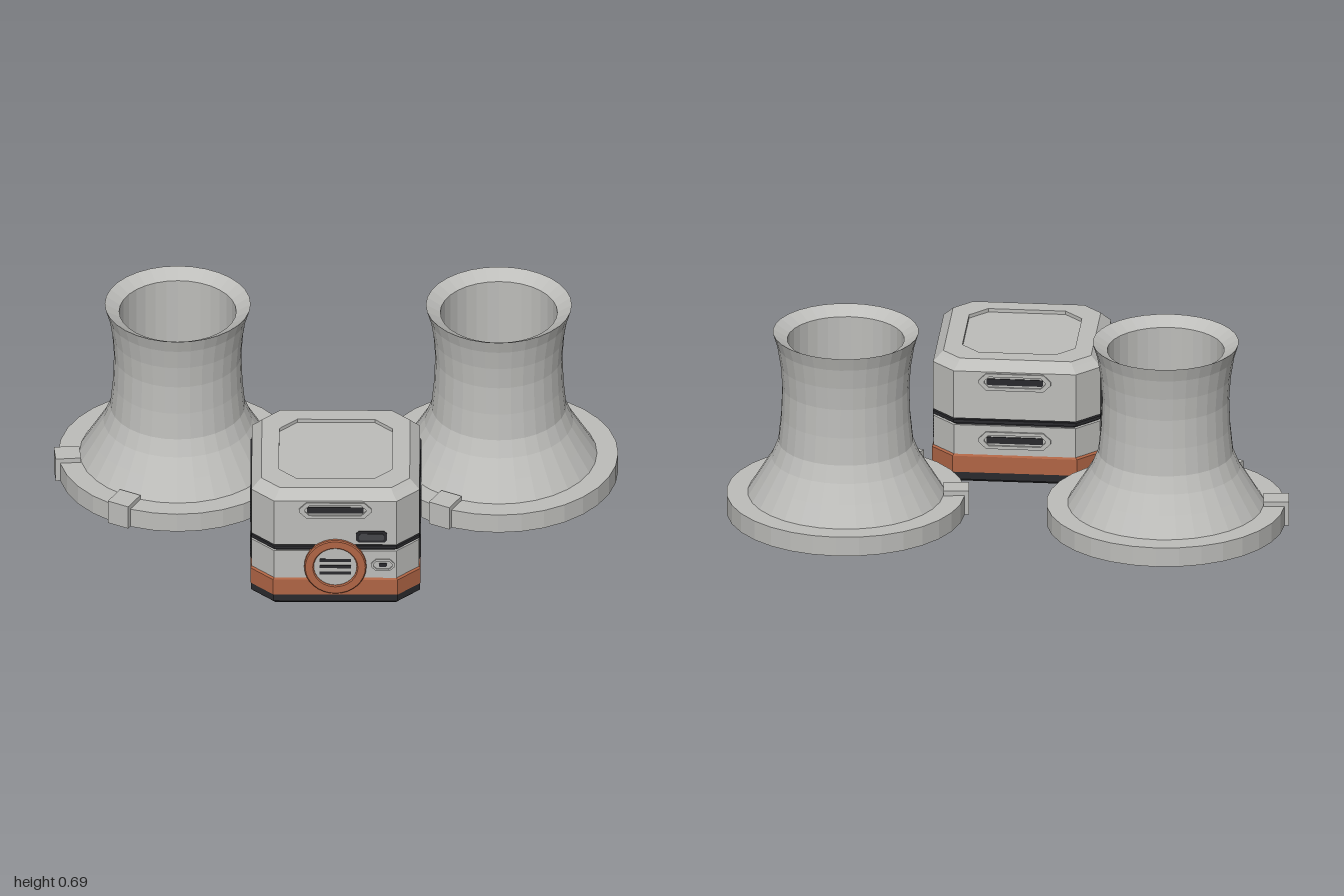
import * as THREE from 'three';

const mat = (name, color) => {
  const m = new THREE.MeshStandardMaterial({ color });
  m.name = name;
  return m;
};

export function createModel() {
  const concrete = mat('concrete grey', 0xbdbdba);
  const rust = mat('rust orange', 0xb06545);
  const dark = mat('dark metal', 0x2a2a2d);
  const slatGrey = mat('slat grey', 0x45464a);
  const model = new THREE.Group();

  const add = (parent, name, geometry, material, x = 0, y = 0, z = 0) => {
    const mesh = new THREE.Mesh(geometry, material);
    mesh.name = name;
    mesh.position.set(x, y, z);
    parent.add(mesh);
    return mesh;
  };
  const faceted = (g) => {
    const flat = g.toNonIndexed();
    flat.computeVertexNormals();
    return flat;
  };

  // Rectangle with cut corners, as a list of points
  const cutRect = (w, h, c) => [
    [w, -h + c], [w, h - c], [w - c, h], [-w + c, h],
    [-w, h - c], [-w, -h + c], [-w + c, -h], [w - c, -h],
  ].map(([x, y]) => new THREE.Vector2(x, y));
  const plate = (w, h, c, depth, hole) => {
    const shape = new THREE.Shape(cutRect(w, h, c));
    if (hole) shape.holes.push(new THREE.Path(cutRect(...hole)));
    return new THREE.ExtrudeGeometry(shape, { depth, bevelEnabled: false });
  };

  // Solid through stacked cut-corner squares, each [y, half width, corner cut]
  const loft = (rings, cap = true) => {
    const pos = [];
    const pts = rings.map(([y, h, c]) => cutRect(h, h, c).map((p) => [p.x, y, -p.y]));
    for (let r = 0; r + 1 < pts.length; r++) {
      for (let i = 0; i < 8; i++) {
        const j = (i + 1) % 8;
        const [a, b, c, d] = [pts[r][i], pts[r][j], pts[r + 1][j], pts[r + 1][i]];
        pos.push(...a, ...b, ...c, ...a, ...c, ...d);
      }
    }
    const first = pts[0], last = pts[pts.length - 1];
    for (let i = 1; i < 7; i++) {
      pos.push(...first[0], ...first[i + 1], ...first[i]);
      if (cap) pos.push(...last[0], ...last[i], ...last[i + 1]);
    }
    const g = new THREE.BufferGeometry();
    g.setAttribute('position', new THREE.Float32BufferAttribute(pos, 3));
    g.computeVertexNormals();
    return g;
  };

  // Cooling towers: plinth, waisted shell, flared lip and hollow inside
  const profile = [
    [0, 0], [0.422, 0], [0.422, 0.072], [0.347, 0.072], [0.302, 0.145], [0.263, 0.21],
    [0.239, 0.27], [0.229, 0.37], [0.225, 0.477], [0.231, 0.56], [0.243, 0.635],
    [0.258, 0.685], [0.207, 0.655], [0.207, 0.08], [0, 0.08],
  ].map(([x, y]) => new THREE.Vector2(x, y));
  const towerGeo = faceted(new THREE.LatheGeometry(profile, 32));
  const clipGeo = new THREE.BoxGeometry(0.082, 0.09, 0.09);
  for (const [side, x] of [['right', -0.562], ['left', 0.573]]) {
    const tower = new THREE.Group();
    tower.name = side + 'CoolingTower';
    tower.position.set(x, 0, -0.242);
    model.add(tower);
    add(tower, 'towerShell', towerGeo, concrete);
    for (const a of [-1.48, -0.5]) {
      const clip = add(tower, 'plinthClip', clipGeo, concrete, 0.391 * Math.sin(a), 0.045, 0.391 * Math.cos(a));
      clip.rotation.y = a;
    }
  }

  // Control block, stacked from the ground up
  const block = new THREE.Group();
  block.name = 'controlBlock';
  block.position.z = 0.36;
  model.add(block);
  add(block, 'footing', loft([[0, 0.293, 0.08], [0.008, 0.299, 0.08], [0.035, 0.299, 0.08]]), dark);
  add(block, 'skirt', loft([[0.035, 0.3, 0.08], [0.096, 0.3, 0.08], [0.106, 0.294, 0.08]]), rust);
  add(block, 'lowerStorey', loft([[0.1, 0.296, 0.08], [0.214, 0.296, 0.08]]), concrete);
  add(block, 'seamBand', loft([[0.214, 0.288, 0.08], [0.24, 0.288, 0.08]]), dark);
  add(block, 'seamRib', loft([[0.222, 0.297, 0.08], [0.234, 0.297, 0.08]]), dark);
  add(block, 'upperStorey', loft([[0.24, 0.297, 0.08], [0.42, 0.297, 0.08], [0.442, 0.275, 0.072]]), concrete);

  // Roof: bevelled edge around a shallow sunken panel
  add(block, 'roofBevel', loft([[0.44, 0.277, 0.073], [0.455, 0.262, 0.065]], false), concrete);
  const rim = add(block, 'roofRim', plate(0.262, 0.262, 0.065, 0.013, [0.2, 0.2, 0.063]), concrete, 0, 0.442, 0);
  rim.rotation.x = -Math.PI / 2;

  // Slatted grilles on both sides
  for (const s of [-1, 1]) {
    for (const [name, y0, y1, count] of [['upperGrille', 0.25, 0.395, 12], ['lowerGrille', 0.107, 0.206, 8]]) {
      const grille = new THREE.Group();
      grille.name = name;
      grille.position.x = s * 0.297;
      block.add(grille);
      add(grille, 'grilleBack', new THREE.BoxGeometry(0.004, y1 - y0, 0.345), dark, 0, (y0 + y1) / 2, 0);
      const step = (y1 - y0) / count;
      for (let i = 0; i < count; i++) {
        add(grille, 'slat', new THREE.BoxGeometry(0.009, step * 0.5, 0.335), slatGrey, 0, y0 + (i + 0.5) * step, 0);
      }
    }
  }

  // Slot vents: raised cut-corner frame with a dark slot
  const vent = (y, dir) => {
    const g = new THREE.Group();
    g.name = 'slotVent';
    g.position.set(0, y, dir * 0.296);
    if (dir < 0) g.rotation.y = Math.PI;
    block.add(g);
    add(g, 'ventFrame', plate(0.128, 0.032, 0.026, 0.007, [0.108, 0.02, 0.016]), concrete);
    add(g, 'ventSlot', plate(0.1, 0.012, 0.004, 0.004), dark);
  };
  vent(0.383, 1);
  vent(0.383, -1);
  vent(0.16, -1);

  // Front display window and small socket
  add(block, 'displayFrame', plate(0.055, 0.023, 0.01, 0.006), dark, 0.128, 0.274, 0.295);
  add(block, 'displayGlass', plate(0.044, 0.013, 0.005, 0.008), slatGrey, 0.128, 0.274, 0.295);
  add(block, 'socketFrame', plate(0.042, 0.024, 0.018, 0.006, [0.033, 0.016, 0.011]), concrete, 0.168, 0.157, 0.295);
  add(block, 'socketSlot', plate(0.014, 0.007, 0.003, 0.004), dark, 0.168, 0.157, 0.295);

  // Round front intake: orange ring, grey disc and three bars
  const intake = new THREE.Group();
  intake.name = 'roundIntake';
  intake.position.set(0, 0.153, 0.29);
  block.add(intake);
  const ring = new THREE.Shape().absarc(0, 0, 0.11, 0, Math.PI * 2);
  ring.holes.push(new THREE.Path().absarc(0, 0, 0.076, 0, Math.PI * 2, true));
  add(intake, 'intakeRing', new THREE.ExtrudeGeometry(ring, {
    depth: 0.016, curveSegments: 16, bevelThickness: 0.004, bevelSize: 0.004, bevelOffset: -0.004, bevelSegments: 1,
  }), rust);
  const disc = add(intake, 'intakeDisc', new THREE.CylinderGeometry(0.08, 0.08, 0.014, 16), concrete, 0, 0, 0.006);
  disc.rotation.x = Math.PI / 2;
  for (const y of [-0.026, 0, 0.026]) {
    add(intake, 'intakeBar', new THREE.BoxGeometry(0.11, 0.012, 0.006), dark, 0, y, 0.012);
  }
  return model;
}
